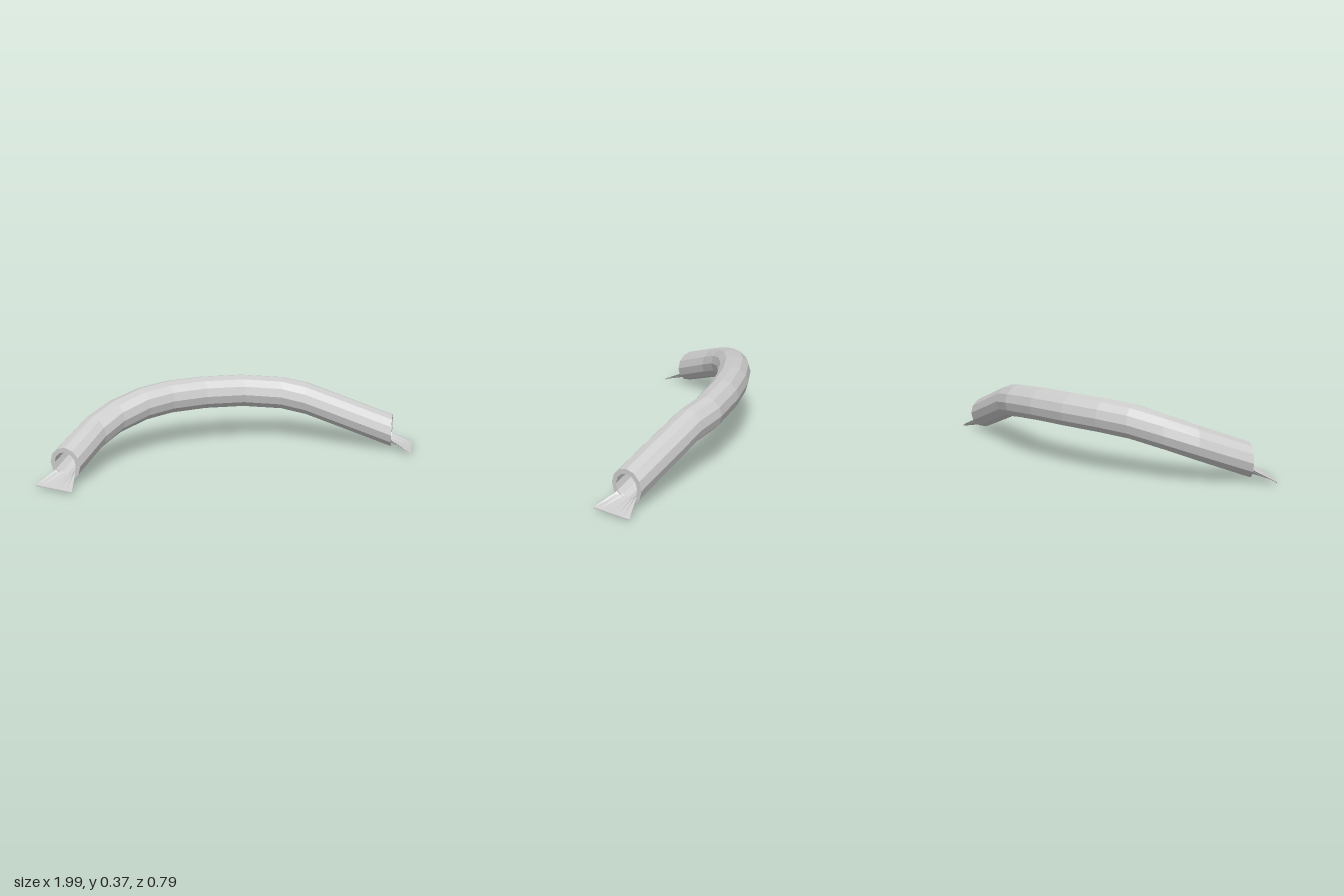
import * as THREE from 'three';

const SIDES = 12, OUTER = 0.085, INNER = 0.061;

// Centre line of the pipe, from its right end to its left end
const PATH = [
  [-0.85, 0.10, -0.112], [-0.645, 0.185, -0.245], [-0.505, 0.232, -0.295],
  [-0.34, 0.27, -0.315], [-0.19, 0.284, -0.315], [0, 0.288, -0.285],
  [0.2, 0.285, -0.225], [0.39, 0.268, -0.135], [0.495, 0.245, -0.045],
  [0.845, 0.095, 0.24],
].map(p => new THREE.Vector3(...p));

const material = new THREE.MeshStandardMaterial({
  color: 0xcccccc, flatShading: true, side: THREE.DoubleSide,
});

// Joins equal-length rows of points into a faceted skin
function skin(rows) {
  const cols = rows[0].length, index = [];
  for (let i = 0; i < rows.length - 1; i++) {
    for (let j = 0; j < cols - 1; j++) {
      const a = i * cols + j, b = a + 1, c = a + cols, d = c + 1;
      index.push(a, b, c, b, d, c);
    }
  }
  const geometry = new THREE.BufferGeometry().setFromPoints(rows.flat());
  geometry.setIndex(index);
  const flat = geometry.toNonIndexed();
  flat.computeVertexNormals();
  return flat;
}

// Level heading of the path at point i
function heading(i) {
  const dir = (a, b) => PATH[b].clone().sub(PATH[a]).setY(0).normalize();
  const last = PATH.length - 1;
  if (i === 0) return new THREE.Vector3(0.815, 0, -0.58).normalize();
  if (i === last) return dir(i - 1, i);
  return dir(i - 1, i).add(dir(i, i + 1)).normalize();
}

// Upright ring of points around path point i
function ring(i, radius) {
  const h = heading(i), across = new THREE.Vector3(-h.z, 0, h.x);
  return Array.from({ length: SIDES + 1 }, (_, k) => {
    const t = (k % SIDES) / SIDES * Math.PI * 2;
    const p = PATH[i].clone().addScaledVector(across, -Math.sin(t) * radius);
    p.y += Math.cos(t) * radius;
    return p;
  });
}

// Hollow pipe: outer wall, end rims and bore in one closed skin
function pipe() {
  const outer = PATH.map((_, i) => ring(i, OUTER));
  const inner = PATH.map((_, i) => ring(i, INNER)).reverse();
  return skin([...outer, ...inner, outer[0]]);
}

// Thin flared ramp: straight on the ground, curved where it enters the bore
function ramp(i, sign, ground) {
  const out = heading(i).multiplyScalar(sign);
  const across = new THREE.Vector3(-out.z, 0, out.x);
  const edge = (distance, pointAt, lift) => Array.from({ length: 7 }, (_, k) => {
    const [side, y] = pointAt(k / 3 - 1);
    return PATH[i].clone().addScaledVector(out, distance)
      .addScaledVector(across, side).setY(y + lift);
  });
  const lip = s => [s * 0.103, ground];
  const throat = s => [
    Math.sin(s * 0.95) * INNER,
    PATH[i].y - Math.cos(s * 0.95) * INNER,
  ];
  const rows = [
    edge(0.108, lip, 0.006), edge(-0.012, throat, 0.006),
    edge(-0.012, throat, 0), edge(0.108, lip, 0),
  ];
  rows.push(rows[0]);
  return skin(rows);
}

export function createModel() {
  const group = new THREE.Group();
  group.name = 'curvedTunnel';
  const add = (name, geometry) => {
    const mesh = new THREE.Mesh(geometry, material);
    mesh.name = name;
    group.add(mesh);
  };
  add('pipe', pipe());
  add('rightRamp', ramp(0, -1, 0.006));
  add('leftRamp', ramp(PATH.length - 1, 1, 0));
  return group;
}
